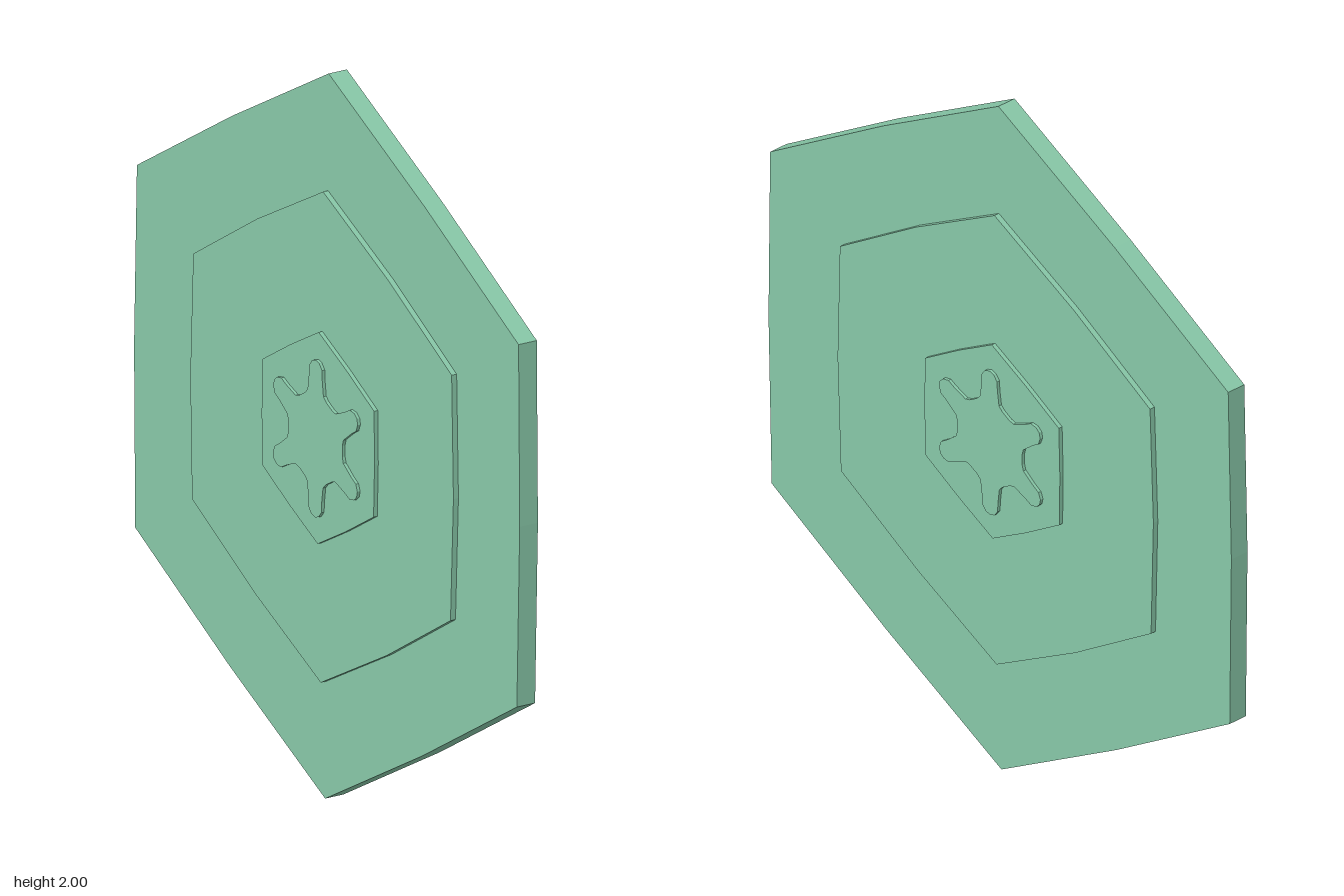
import * as THREE from 'three';

const material = new THREE.MeshStandardMaterial({ color: 0x88c8a8, flatShading: true });

// Pointed-top hexagon whose edges bow out slightly at their midpoints
function hexShape(radius, midRadius) {
  const points = [];
  for (let i = 0; i < 12; i++) {
    const a = Math.PI / 2 + (i * Math.PI) / 6;
    const r = i % 2 ? midRadius : radius;
    points.push(new THREE.Vector2(r * Math.cos(a), r * Math.sin(a)));
  }
  return new THREE.Shape(points);
}

// Six-armed star with rounded tips, made from one arm repeated around the centre
function starShape() {
  const half = [[0.016, 0.212], [0.029, 0.196], [0.03, 0.17], [0.036, 0.126], [0.048, 0.114]];
  const arm = [
    ...half.map(([x, y]) => [-x, y]).reverse(),
    [0, 0.217],
    ...half,
  ];
  const points = [];
  for (let i = 0; i < 6; i++) {
    const turn = (-i * Math.PI) / 3;
    for (const [x, y] of arm) {
      points.push(new THREE.Vector2(x, y).rotateAround(new THREE.Vector2(), turn));
    }
  }
  return new THREE.Shape(points);
}

// Plate extruded equally to the front and back
function plate(name, shape, halfDepth) {
  const geometry = new THREE.ExtrudeGeometry(shape, { depth: 2 * halfDepth, bevelEnabled: false });
  geometry.translate(0, 0, -halfDepth);
  const mesh = new THREE.Mesh(geometry, material);
  mesh.name = name;
  return mesh;
}

export function createModel() {
  const model = new THREE.Group();
  model.name = 'hexagonalPanel';

  // Stepped layers, each smaller and thicker than the last
  const panel = new THREE.Group();
  panel.name = 'panel';
  panel.add(
    plate('outerPlate', hexShape(1, 0.875), 0.029),
    plate('middlePlate', hexShape(0.677, 0.597), 0.045),
    plate('hub', hexShape(0.292, 0.256), 0.057),
    plate('starBoss', starShape(), 0.066),
  );

  // The panel leans back very slightly
  panel.rotation.x = -0.0055;
  panel.position.y = 1;
  model.add(panel);
  return model;
}
